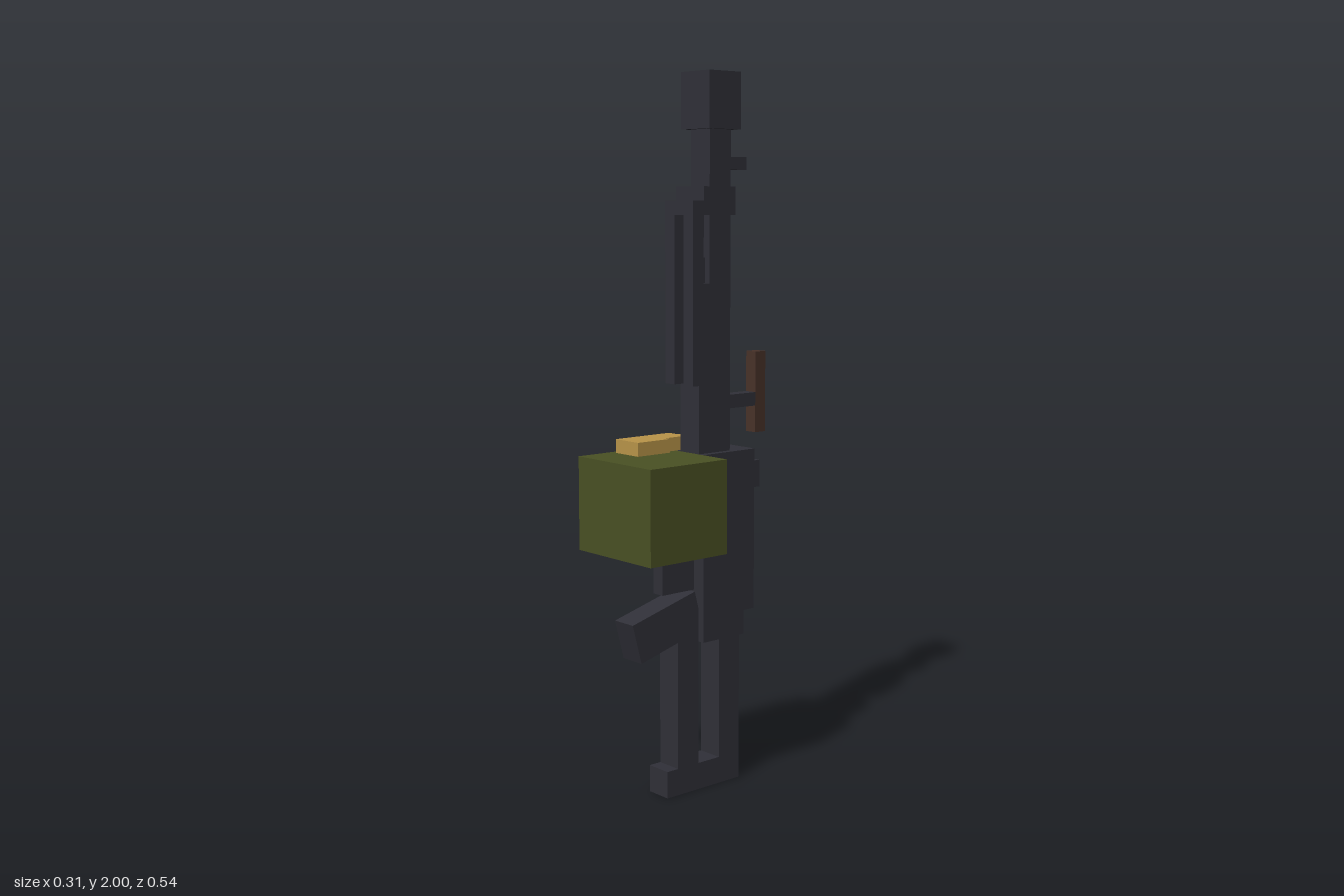
import * as THREE from 'three';

const U = 2 / 52; // one block of the modelling grid

function makeMaterial(name, color) {
  const m = new THREE.MeshStandardMaterial({ color });
  m.name = name;
  return m;
}

export function createModel() {
  const model = new THREE.Group();
  model.name = 'machineGun';
  const metal = makeMaterial('darkMetal', 0x303038);
  const green = makeMaterial('oliveGreen', 0x4a5124);
  const brass = makeMaterial('brass', 0xb99549);
  const wood = makeMaterial('darkWood', 0x483229);

  // Box between two corners, given in grid blocks
  function block(name, material, [x0, x1], [y0, y1], [z0, z1]) {
    const geo = new THREE.BoxGeometry((x1 - x0) * U, (y1 - y0) * U, (z1 - z0) * U);
    const mesh = new THREE.Mesh(geo, material);
    mesh.name = name;
    mesh.position.set((x0 + x1) / 2 * U, (y0 + y1) / 2 * U, (z0 + z1) / 2 * U);
    model.add(mesh);
    return mesh;
  }

  // Stock: butt with two struts and an open slot between them
  block('butt', metal, [-1, 1], [0, 2], [-4, 3]);
  block('stockFrontStrut', metal, [-1, 1], [2, 12], [0, 2]);
  block('stockRearStrut', metal, [-1, 1], [2, 11.2], [-4, -2]);

  // Slanted pistol grip
  const grip = block('pistolGrip', metal, [-1, 1], [-1.5, 1.5], [-3, 3]);
  grip.position.set(0, 0.491, 0.111);
  grip.rotation.x = THREE.MathUtils.degToRad(15);

  // Receiver
  block('receiver', metal, [-1.5, 1.5], [13, 25], [-5, 0]);
  block('receiverEnd', metal, [-1.5, 1.5], [11.2, 13], [-4, 0]);
  block('triggerGuard', metal, [-0.5, 0.5], [15, 18.3], [0, 3]);
  block('chargingHandle', metal, [-2.5, -1.5], [16, 17], [-2, -1]);
  block('rearSight', metal, [-1, 1], [22, 24], [-6, -5]);

  // Barrel group
  block('barrel', metal, [-1, 1], [25, 48], [-3, -1]);
  block('handguard', metal, [-1, 1], [25, 37.2], [-1, 0]);
  block('gasTube', metal, [-0.5, 0.5], [37.2, 39], [-1, 0]);
  block('collar', metal, [-1.5, 1.5], [42, 44], [-3, 0]);
  block('muzzle', metal, [-1.5, 1.5], [48, 52], [-3.5, -0.5]);
  block('frontSight', metal, [-0.5, 0.5], [45.2, 46.1], [-5, -3]);

  // Folded bipod
  block('bipodHinge', metal, [-0.5, 0.5], [42, 43], [0, 1]);
  for (const side of [-1, 1]) {
    block('bipodLeg', metal, [side - 0.5, side + 0.5], [30, 43], [0, 1]);
  }

  // Carrying handle
  block('handleRod', metal, [-0.5, 0.5], [28, 29], [-6, -3]);
  block('handleGrip', wood, [-0.5, 0.5], [26, 32], [-7, -6]);

  // Ammunition box and the belt that loops round into the receiver
  block('ammoBox', green, [-4, 4], [18.2, 25], [0, 7]);
  block('beltOnBox', brass, [-3.5, -1], [25, 26], [1, 4]);
  block('beltBeside', brass, [-3.5, -1.5], [25, 26], [-1, 1]);
  block('beltTop', brass, [-2.5, -1.5], [25, 26], [-4, -1]);
  block('beltDrop', brass, [-2.5, -1.5], [19, 25], [-4, -3]);
  block('beltBottom', brass, [-2.5, -1.5], [19, 20], [-3, 0]);
  block('beltEnd', brass, [-2.5, -1.5], [20, 21], [-1, 0]);

  return model;
}
